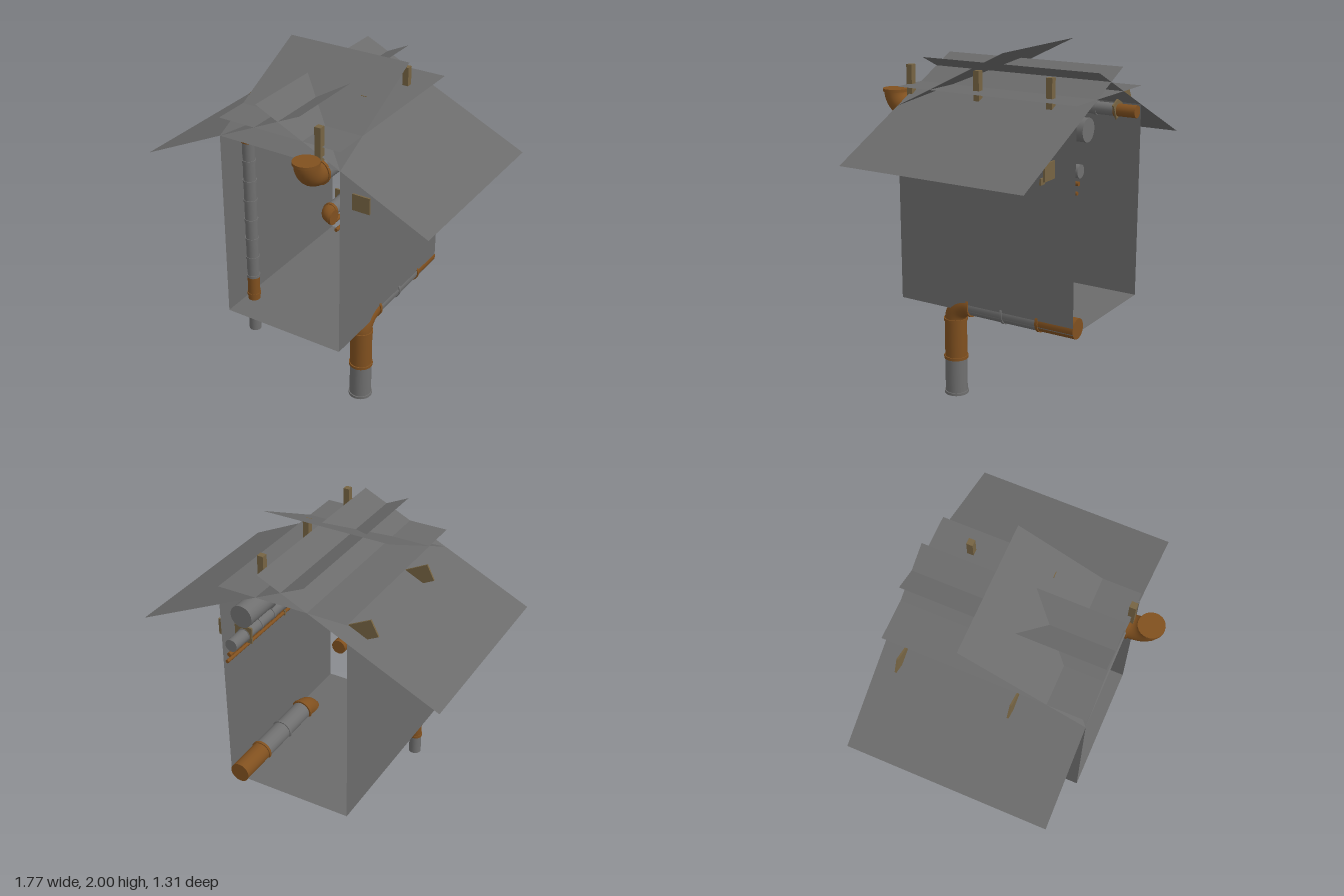
import * as THREE from 'three';

const V = (x, y, z) => new THREE.Vector3(x, y, z);
const mat = (name, color, side = THREE.FrontSide) => {
  const m = new THREE.MeshStandardMaterial({ color, side });
  m.name = name;
  return m;
};

export function createModel() {
  const root = new THREE.Group();
  root.name = 'pipeShed';
  const panelGrey = mat('panelGrey', 0x6b6b6b, THREE.DoubleSide);
  const steel = mat('steelGrey', 0x6f6f6f);
  const rust = mat('rustBrown', 0x80501f);
  const clampTan = mat('clampTan', 0x766443);

  const add = (parent, geometry, material, name) => {
    const m = new THREE.Mesh(geometry, material);
    m.name = name;
    parent.add(m);
    return m;
  };
  const group = (name) => {
    const g = new THREE.Group();
    g.name = name;
    root.add(g);
    return g;
  };

  // Thin sheet panels: centre, size, rotation
  const panel = (name, w, h, pos, rot) => {
    const m = add(root, new THREE.PlaneGeometry(w, h), panelGrey, name);
    m.position.set(...pos);
    m.rotation.set(...rot);
  };
  const zMid = -0.0925, depth = 1.125, H = Math.PI / 2;
  panel('floor', 0.75, depth, [0, 0.535, zMid], [-H, 0, 0]);
  panel('atticDeck', 0.75, depth, [0, 1.766, zMid], [-H, 0, 0]);
  // Front slope that crosses the ridge
  panel('frontRoof', 0.75, Math.hypot(0.69, 0.34), [0, 1.83, 0.125], [-Math.atan2(0.69, 0.34), 0, 0]);
  for (const s of [-1, 1]) {
    panel(s > 0 ? 'leftWall' : 'rightWall', depth, 1.125, [s * 0.375, 1.0975, zMid], [0, s * H, 0]);
    // Main slopes run past the ridge and cross each other
    const slope = add(root, new THREE.PlaneGeometry(Math.hypot(1.02, 0.48), depth).rotateX(-H),
      panelGrey, s > 0 ? 'leftRoof' : 'rightRoof');
    slope.position.set(s * 0.375, 1.66, zMid);
    slope.rotation.z = -s * Math.atan2(0.48, 1.02);
  }

  // Straight pipe between two points
  const up = V(0, 1, 0);
  const rod = (parent, a, b, r, material, name) => {
    const d = b.clone().sub(a);
    const m = add(parent, new THREE.CylinderGeometry(r, r, d.length(), 24), material, name);
    m.position.copy(a).add(b).multiplyScalar(0.5);
    m.quaternion.setFromUnitVectors(up, d.normalize());
  };
  // Collar ring centred on p
  const collar = (parent, p, dir, r, material) => {
    const h = dir.clone().multiplyScalar(0.008);
    rod(parent, p.clone().sub(h), p.clone().add(h), r, material, 'collar');
  };
  // Run of equal or unequal sections; stops are fractions, code letters pick the colour
  const run = (parent, a, b, r, code, stops) => {
    const n = code.length, dir = b.clone().sub(a).normalize();
    const at = (i) => a.clone().lerp(b, stops ? stops[i] : i / n);
    for (let i = 0; i < n; i++) {
      const material = code[i] === 'o' ? rust : steel;
      rod(parent, at(i), at(i + 1), r, material, 'pipeSection');
      if (i > 0) collar(parent, at(i), dir, r * 1.1, material);
    }
  };
  // Quarter bend from a to b round the given corner point
  const elbow = (parent, a, corner, b, r, ends = [true, true]) => {
    const c = a.clone().add(b).sub(corner);
    const pts = [];
    for (let i = 0; i <= 8; i++) {
      const t = (i / 8) * H;
      pts.push(c.clone().addScaledVector(a.clone().sub(c), Math.cos(t))
        .addScaledVector(b.clone().sub(c), Math.sin(t)));
    }
    add(parent, new THREE.TubeGeometry(new THREE.CatmullRomCurve3(pts), 20, r, 24), rust, 'elbow');
    if (ends[0]) collar(parent, a, corner.clone().sub(a).normalize(), r * 1.1, rust);
    if (ends[1]) collar(parent, b, b.clone().sub(corner).normalize(), r * 1.1, rust);
  };

  // Large drain under the left wall
  const drain = group('drainPipe');
  run(drain, V(0.32, 0, 0.135), V(0.32, 0.455, 0.135), 0.064, 'go', [0, 0.495, 1]);
  collar(drain, V(0.32, 0.008, 0.135), up, 0.07, steel);
  elbow(drain, V(0.32, 0.455, 0.135), V(0.32, 0.557, 0.135), V(0.32, 0.557, 0.02), 0.062);
  run(drain, V(0.32, 0.557, 0.02), V(0.32, 0.557, -0.655), 0.058, 'ggo');

  // Thin downpipe and its run along the right wall
  const down = group('downPipe');
  run(down, V(-0.328, 0.32, 0.285), V(-0.328, 1.57, 0.285), 0.036, 'googgggggg'.replace('goog', 'goog'));
  elbow(down, V(-0.328, 1.57, 0.285), V(-0.328, 1.625, 0.285), V(-0.328, 1.625, 0.23), 0.037);
  run(down, V(-0.328, 1.625, 0.23), V(-0.328, 1.625, -0.655), 0.036, 'ggooggo');

  // Large vent pipe with upturned mouth
  const vent = group('ventPipe');
  run(vent, V(0.245, 1.622, -0.655), V(0.245, 1.622, 0.47), 0.064, 'ggggg');
  elbow(vent, V(0.245, 1.622, 0.47), V(0.245, 1.622, 0.58), V(0.245, 1.722, 0.58), 0.066);

  // Small outlet pipe turning sideways at the front
  const outlet = group('outletPipe');
  run(outlet, V(0.32, 1.42, -0.655), V(0.32, 1.42, 0.47), 0.036, 'ggggggggg');
  elbow(outlet, V(0.32, 1.42, 0.47), V(0.32, 1.42, 0.525), V(0.367, 1.42, 0.525), 0.037);

  // Slim conduits on the left wall
  const conduits = group('conduits');
  rod(conduits, V(0.337, 1.358, -0.655), V(0.337, 1.358, 0.47), 0.012, rust, 'upperConduit');
  rod(conduits, V(0.352, 1.31, -0.655), V(0.352, 1.31, 0.47), 0.01, rust, 'lowerConduit');

  // Clamp plates through the walls: width, height, x, y, tilt, z positions
  const clamps = group('clamps');
  const plates = [
    [0.21, 0.095, 0.375, 1.427, 0, [0.345, -0.53]],
    [0.095, 0.035, 0.368, 1.358, 0, [0.1, -0.47]],
    [0.095, 0.032, 0.388, 1.31, 0, [-0.09]],
    [0.205, 0.095, -0.375, 1.663, -0.48, [0.09, -0.535]],
  ];
  for (const [w, h, x, y, tilt, zs] of plates) {
    for (const z of zs) {
      const p = add(clamps, new THREE.BoxGeometry(w, h, 0.01), clampTan, 'clampPlate');
      p.position.set(x, y, z);
      p.rotation.z = tilt;
    }
  }
  // Hanger posts rising through the left roof
  for (const z of [0.467, 0.02, -0.433]) {
    add(clamps, new THREE.BoxGeometry(0.036, 0.21, 0.036), clampTan, 'hangerPost').position.set(0.25, 1.77, z);
  }
  return root;
}
